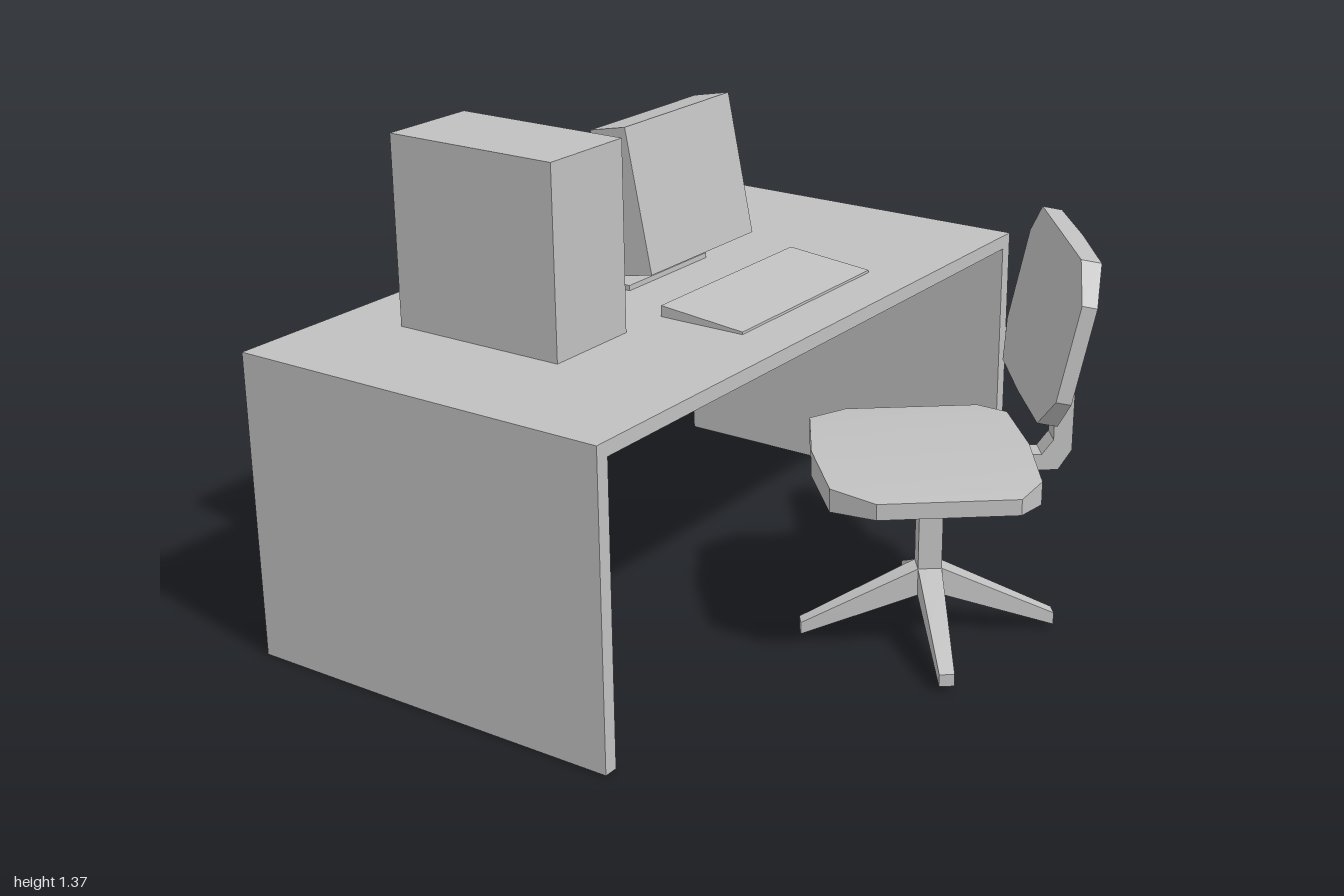
import * as THREE from 'three';
import { toCreasedNormals } from 'three/addons/utils/BufferGeometryUtils.js';

const grey = new THREE.MeshStandardMaterial({ color: 0xc0c0c0 });
grey.name = 'plainGrey';

function add(parent, name, geometry) {
  const mesh = new THREE.Mesh(geometry, grey);
  mesh.name = name;
  parent.add(mesh);
  return mesh;
}

// Box given by its minimum and maximum corners
function box(x0, x1, y0, y1, z0, z1) {
  return new THREE.BoxGeometry(x1 - x0, y1 - y0, z1 - z0)
    .translate((x0 + x1) / 2, (y0 + y1) / 2, (z0 + z1) / 2);
}

// Joins rings of points (counter-clockwise around the direction of travel) and caps both ends
function loft(rings, crease = 0.3) {
  const pos = [];
  const tri = (...points) => points.forEach((p) => pos.push(...p));
  const n = rings[0].length;
  for (let r = 0; r < rings.length - 1; r++) {
    for (let i = 0; i < n; i++) {
      const j = (i + 1) % n;
      const [a, b, c, d] = [rings[r][i], rings[r][j], rings[r + 1][j], rings[r + 1][i]];
      tri(a, b, c);
      tri(a, c, d);
    }
  }
  const first = rings[0], last = rings[rings.length - 1];
  for (let i = 1; i < n - 1; i++) {
    tri(first[0], first[i + 1], first[i]);
    tri(last[0], last[i], last[i + 1]);
  }
  const g = new THREE.BufferGeometry();
  g.setAttribute('position', new THREE.Float32BufferAttribute(pos, 3));
  return toCreasedNormals(g, crease);
}

// Rectangle across the z axis
const rect = (hw, y0, y1, z) => [[-hw, y0, z], [hw, y0, z], [hw, y1, z], [-hw, y1, z]];

// Cushion with cut corners, thinner at its sides; stations are [x, zMin, zMax, halfThickness]
function cushion(stations) {
  return loft(stations.map(([x, lo, hi, t]) => [[x, -t, lo], [x, t, lo], [x, t, hi], [x, -t, hi]]));
}
const mirrored = (half, middle) =>
  [...half.map(([x, ...rest]) => [-x, ...rest]), ...middle, ...half.slice().reverse()];

function createDesk() {
  const desk = new THREE.Group();
  desk.name = 'desk';
  add(desk, 'deskTop', box(-0.93, 0.2, 0.815, 0.855, -1, 1));
  for (const s of [-1, 1]) {
    add(desk, 'sidePanel', box(-0.93, 0.2, 0, 0.815, s * 0.98 - 0.02, s * 0.98 + 0.02));
  }
  return desk;
}

function createComputer() {
  const computer = new THREE.Group();
  computer.name = 'computer';
  add(computer, 'tower', box(-0.73, -0.21, 0.855, 1.373, 0.343, 0.628));

  // Wedge keyboard, thicker at its far edge
  const wedge = (z) => [[-0.21, 0.855, z], [0.05, 0.855, z], [0.05, 0.862, z], [-0.21, 0.886, z]];
  add(computer, 'keyboard', loft([wedge(-0.44), wedge(0.19)], 0.05));

  // Monitor leaning back, its housing tapering to the rear
  const housing = [[0.241, 0.2015, 0], [0.241, 0.2015, 0.117], [0.203, 0.155, 0.169], [0.154, 0.115, 0.4225]];
  add(computer, 'monitor', loft(housing.map(([hw, hh, z]) => rect(hw, -hh, hh, z)), 0.05)
    .rotateX(0.2).rotateY(-Math.PI / 2).translate(-0.33, 1.134, -0.12));
  add(computer, 'monitorFoot', box(-0.73, -0.41, 0.855, 0.87, -0.302, 0.062));
  add(computer, 'monitorNeck', box(-0.63, -0.51, 0.87, 0.955, -0.18, -0.06));
  return computer;
}

// Built facing +z around its stem, then turned and placed
function createChair() {
  const chair = new THREE.Group();
  chair.name = 'chair';

  add(chair, 'seat', cushion(mirrored(
    [[0.33, -0.18, 0.188, 0.022], [0.245, -0.248, 0.297, 0.032]],
    [[0, -0.262, 0.318, 0.035]],
  )).translate(0, 0.503, 0));

  add(chair, 'backrest', cushion(mirrored(
    [[0.325, -0.128, 0.128, 0.02], [0.237, -0.22, 0.22, 0.027]],
    [[0, -0.223, 0.223, 0.03]],
  )).rotateX(-Math.PI / 2 - 0.21).translate(-0.01, 0.898, -0.303));

  // Bent bar from under the seat to the backrest
  const bar = new THREE.Shape([
    [-0.22, 0.475], [-0.22, 0.52], [-0.29, 0.52], [-0.32, 0.56], [-0.315, 0.92],
    [-0.35, 0.92], [-0.372, 0.85], [-0.37, 0.53], [-0.335, 0.475],
  ].map(([z, y]) => new THREE.Vector2(z, y)));
  add(chair, 'backrestBar', new THREE.ExtrudeGeometry(bar, { depth: 0.07, bevelEnabled: false })
    .rotateY(-Math.PI / 2).translate(0.03, 0, 0));

  add(chair, 'stem', box(-0.032, 0.032, 0.17, 0.48, -0.032, 0.032));
  // Four tapering legs
  for (let i = 0; i < 4; i++) {
    add(chair, 'chairLeg', loft([
      rect(0.032, 0.135, 0.205, 0), rect(0.032, 0.123, 0.2, 0.032), rect(0.02, 0.014, 0.048, 0.345),
    ]).rotateY(i * Math.PI / 2));
  }

  chair.rotation.y = -0.9;
  chair.position.set(0.46, 0, -0.09);
  return chair;
}

export function createModel() {
  const model = new THREE.Group();
  model.name = 'workstation';
  model.add(createDesk(), createComputer(), createChair());
  return model;
}
